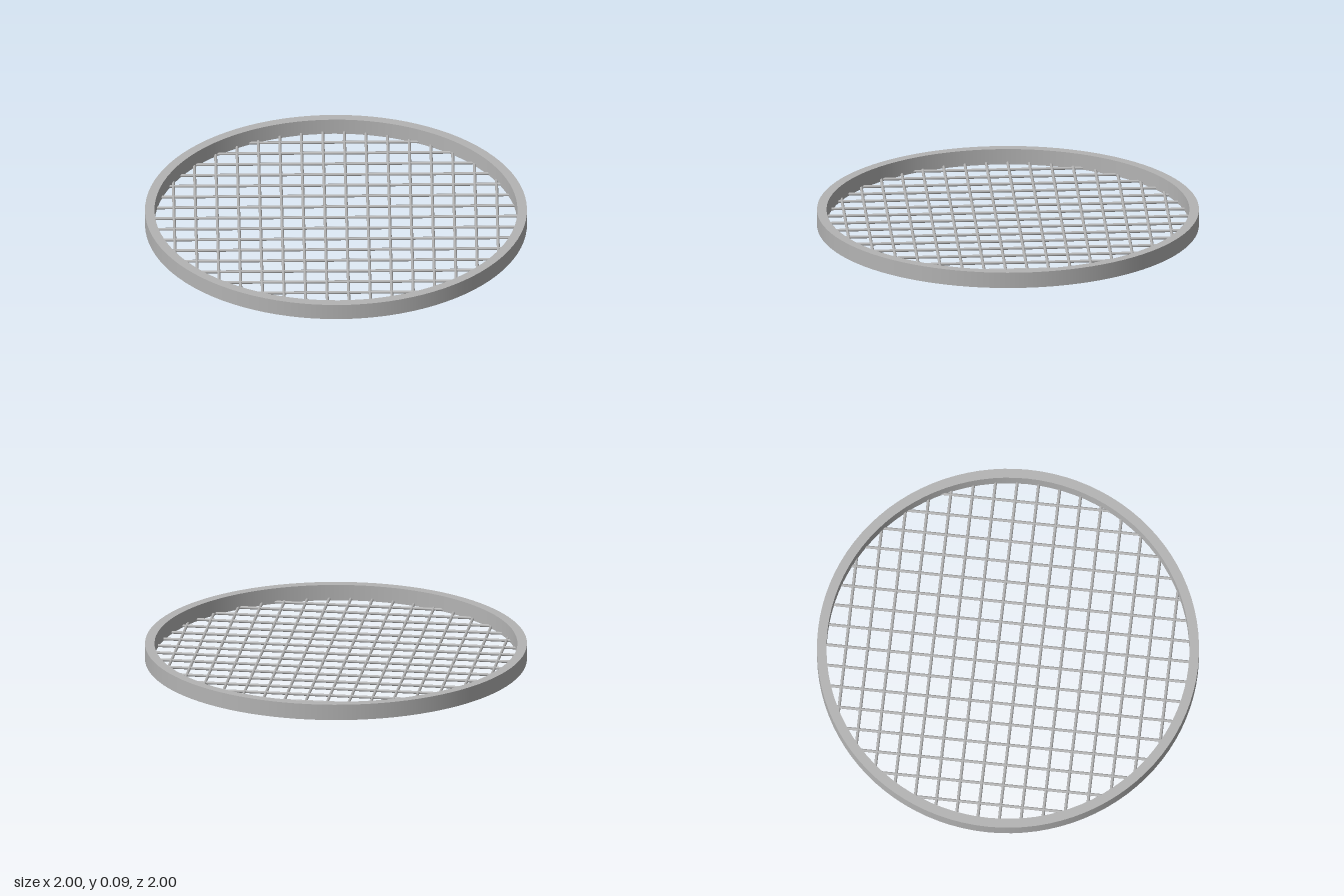
import * as THREE from 'three';

const OUTER = 1, INNER = 0.95, HEIGHT = 0.085;
const WIRE_RADIUS = 0.008, SPACING = 0.1128, WIRES = 16;

export function createModel() {
  const model = new THREE.Group();
  model.name = 'roundSieve';
  const steel = new THREE.MeshStandardMaterial({ color: 0xb4b4b4 });
  steel.name = 'steel grey';

  // Rim: separate faces keep the edges sharp and the walls smooth
  const rim = new THREE.Group();
  rim.name = 'rim';
  const addFace = (name, points) => {
    const profile = points.map(([r, y]) => new THREE.Vector2(r, y));
    const face = new THREE.Mesh(new THREE.LatheGeometry(profile, 96), steel);
    face.name = name;
    rim.add(face);
  };
  addFace('rimOuterWall', [[OUTER, 0], [OUTER, HEIGHT]]);
  addFace('rimTop', [[OUTER, HEIGHT], [INNER, HEIGHT]]);
  addFace('rimInnerWall', [[INNER, HEIGHT], [INNER, 0]]);
  addFace('rimBottom', [[INNER, 0], [OUTER, 0]]);
  model.add(rim);

  // Mesh floor: two crossing sets of wires, each cut to its chord of the rim
  const grid = new THREE.Group();
  grid.name = 'wireGrid';
  for (let i = 0; i < WIRES; i++) {
    const offset = (i - (WIRES - 1) / 2) * SPACING;
    const length = 2 * Math.sqrt((INNER + 0.015) ** 2 - offset ** 2);
    const shape = new THREE.CylinderGeometry(WIRE_RADIUS, WIRE_RADIUS, length, 8);

    const crossWire = new THREE.Mesh(shape, steel);
    crossWire.name = 'crossWire';
    crossWire.rotation.z = Math.PI / 2;
    crossWire.position.set(0, WIRE_RADIUS, offset);

    const longWire = new THREE.Mesh(shape, steel);
    longWire.name = 'longWire';
    longWire.rotation.x = Math.PI / 2;
    longWire.position.set(offset, WIRE_RADIUS, 0);

    grid.add(crossWire, longWire);
  }
  model.add(grid);
  return model;
}
